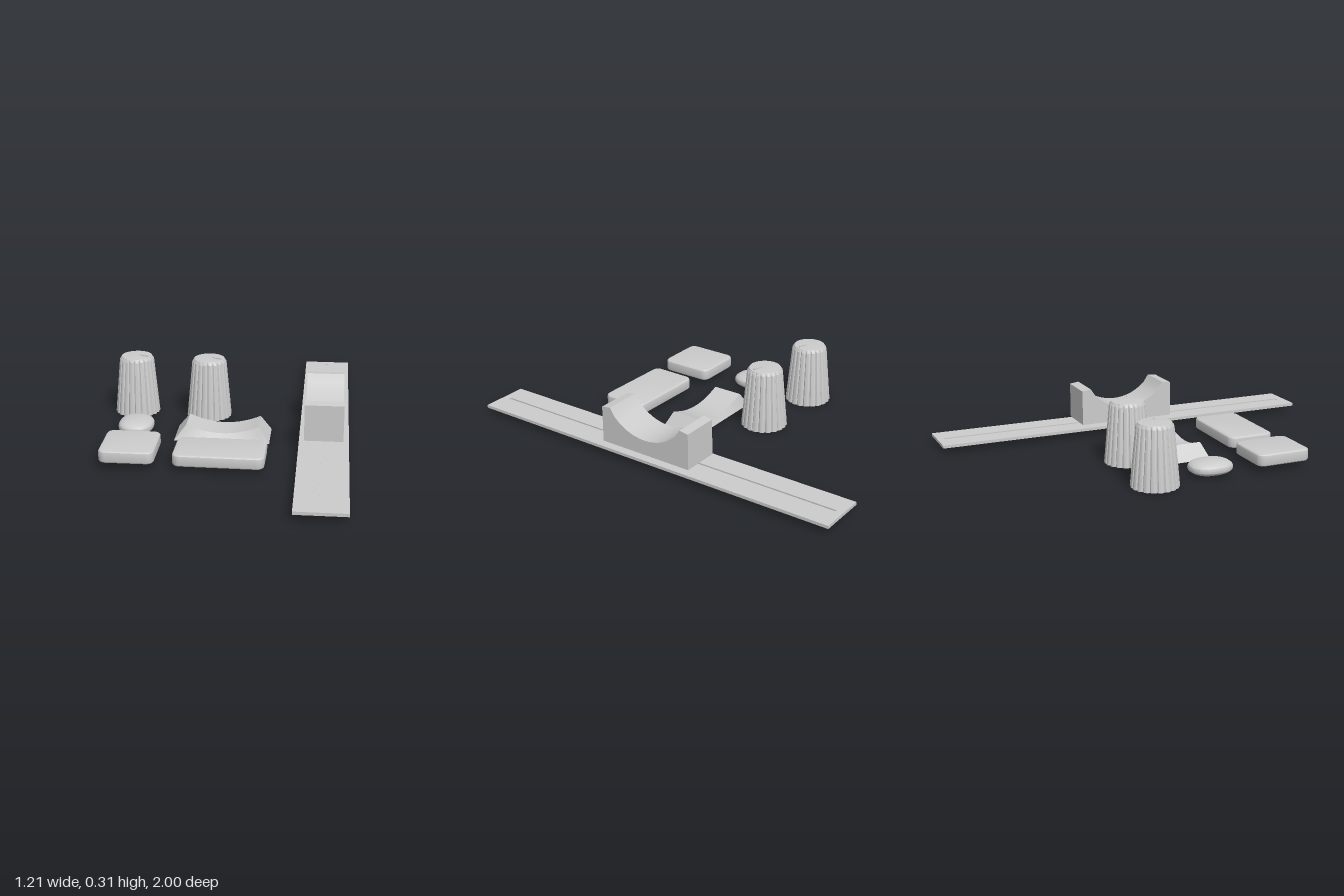
import * as THREE from 'three';
import { toCreasedNormals } from 'three/addons/utils/BufferGeometryUtils.js';

const material = new THREE.MeshStandardMaterial({ color: 0xcccccc });

function mesh(name, geometry, x = 0, y = 0, z = 0) {
  const m = new THREE.Mesh(geometry, material);
  m.name = name;
  m.position.set(x, y, z);
  return m;
}

// Moves every vertex of a geometry by a rule
function deform(geometry, rule) {
  const p = geometry.attributes.position;
  const v = new THREE.Vector3();
  for (let i = 0; i < p.count; i++) {
    rule(v.fromBufferAttribute(p, i));
    p.setXYZ(i, v.x, v.y, v.z);
  }
  return toCreasedNormals(geometry, 0.5);
}

function roundedRect(w, d, r) {
  const s = new THREE.Shape();
  const a = w / 2, b = d / 2;
  s.absarc(a - r, b - r, r, 0, Math.PI / 2);
  s.absarc(-a + r, b - r, r, Math.PI / 2, Math.PI);
  s.absarc(-a + r, -b + r, r, Math.PI, Math.PI * 1.5);
  s.absarc(a - r, -b + r, r, Math.PI * 1.5, Math.PI * 2);
  return s;
}

// Tapered knob with fluted sides and a pointer ridge on its cap
function knob(name, x, z, height) {
  const group = new THREE.Group();
  group.name = name;
  group.position.set(x, 0, z);
  const profile = [[0, 0], [0.115, 0], [0.088, height - 0.02], [0.077, height - 0.005], [0, height]]
    .map(([r, y]) => new THREE.Vector2(r, y));
  const body = deform(new THREE.LatheGeometry(profile, 120), v => {
    if (Math.hypot(v.x, v.z) < 0.08) return;
    const lobe = Math.abs(Math.sin(10 * Math.atan2(v.z, v.x)));
    const k = 0.925 + 0.075 * Math.sqrt(lobe);
    v.x *= k;
    v.z *= k;
  });
  const pointer = mesh('knobPointer', new THREE.BoxGeometry(0.05, 0.006, 0.005), 0.04, height - 0.001, 0.015);
  pointer.rotation.y = -0.35;
  group.add(mesh('knobBody', body), pointer);
  return group;
}

// Flat pad with rounded corners and bevelled rims
function pad(name, w, d, h, x, y, z) {
  const bevel = 0.012;
  const g = new THREE.ExtrudeGeometry(roundedRect(w - 2 * bevel, d - 2 * bevel, 0.025), {
    depth: h - 2 * bevel, bevelEnabled: true, bevelThickness: bevel, bevelSize: bevel,
    bevelSegments: 3, curveSegments: 6,
  });
  g.rotateX(-Math.PI / 2).translate(0, bevel, 0);
  return mesh(name, toCreasedNormals(g, 0.5), x, y, z);
}

// Pebble button: a squared-off ellipsoid
function pebble() {
  const soften = t => Math.sign(t) * Math.abs(t) ** 0.85;
  const g = deform(new THREE.SphereGeometry(1, 32, 16), v => {
    v.set(soften(v.x) * 0.088, soften(v.y) * 0.036, soften(v.z) * 0.108);
  });
  return mesh('pebbleButton', g, -0.45, 0.038, 0.066);
}

// Rocker: sloping sides and a top that dips in the middle
function rocker() {
  const g = deform(new THREE.BoxGeometry(2, 2, 2, 16, 1, 1), v => {
    const top = v.y > 0;
    const t = v.x;
    v.x = top ? -0.012 + t * 0.178 : -0.014 + t * 0.234;
    v.z = top ? 0.065 + v.z * 0.076 : 0.07 + v.z * 0.1;
    v.y = top ? 0.035 + 0.04 * t * t : 0;
  });
  return mesh('rockerButton', g);
}

// Fader: track with a shallow slot, and a scooped cap hovering over it
function fader() {
  const group = new THREE.Group();
  group.name = 'fader';
  group.add(mesh('trackBase', new THREE.BoxGeometry(0.24, 0.008, 2), 0.485, 0.032, 0));

  const face = new THREE.Shape([[-0.12, -1], [0.12, -1], [0.12, 1], [-0.12, 1]]
    .map(p => new THREE.Vector2(...p)));
  face.holes.push(new THREE.Path([[-0.01, -0.96], [-0.01, 0.965], [0.007, 0.965], [0.007, -0.96]]
    .map(p => new THREE.Vector2(...p))));
  const plate = new THREE.ExtrudeGeometry(face, { depth: 0.007, bevelEnabled: false });
  plate.rotateX(-Math.PI / 2);
  group.add(mesh('trackPlate', plate, 0.485, 0.036, 0));

  const side = new THREE.Shape();
  side.moveTo(-0.25, 0.055);
  side.lineTo(0.25, 0.055);
  side.lineTo(0.25, 0.235);
  side.lineTo(0.203, 0.242);
  for (let i = 1; i < 16; i++) {
    const s = 0.203 * (1 - i / 8);
    side.lineTo(s, 0.382 - Math.sqrt(0.252 ** 2 - s * s));
  }
  side.lineTo(-0.203, 0.242);
  side.lineTo(-0.25, 0.235);
  side.closePath();
  const cap = new THREE.ExtrudeGeometry(side, { depth: 0.188, bevelEnabled: false });
  cap.rotateY(Math.PI / 2);
  group.add(mesh('faderCap', toCreasedNormals(cap, 0.4), 0.39, 0, -0.003));
  return group;
}

export function createModel() {
  const model = new THREE.Group();
  model.name = 'controlSet';
  const longPad = pad('longPad', 0.428, 0.24, 0.058, 0.006, 0.021, 0.425);
  longPad.rotation.y = -0.012;
  model.add(
    knob('leftKnob', -0.494, -0.237, 0.305),
    knob('rightKnob', -0.114, -0.212, 0.31),
    pebble(),
    rocker(),
    pad('squarePad', 0.26, 0.278, 0.06, -0.421, 0.03, 0.414),
    longPad,
    fader(),
  );
  return model;
}
